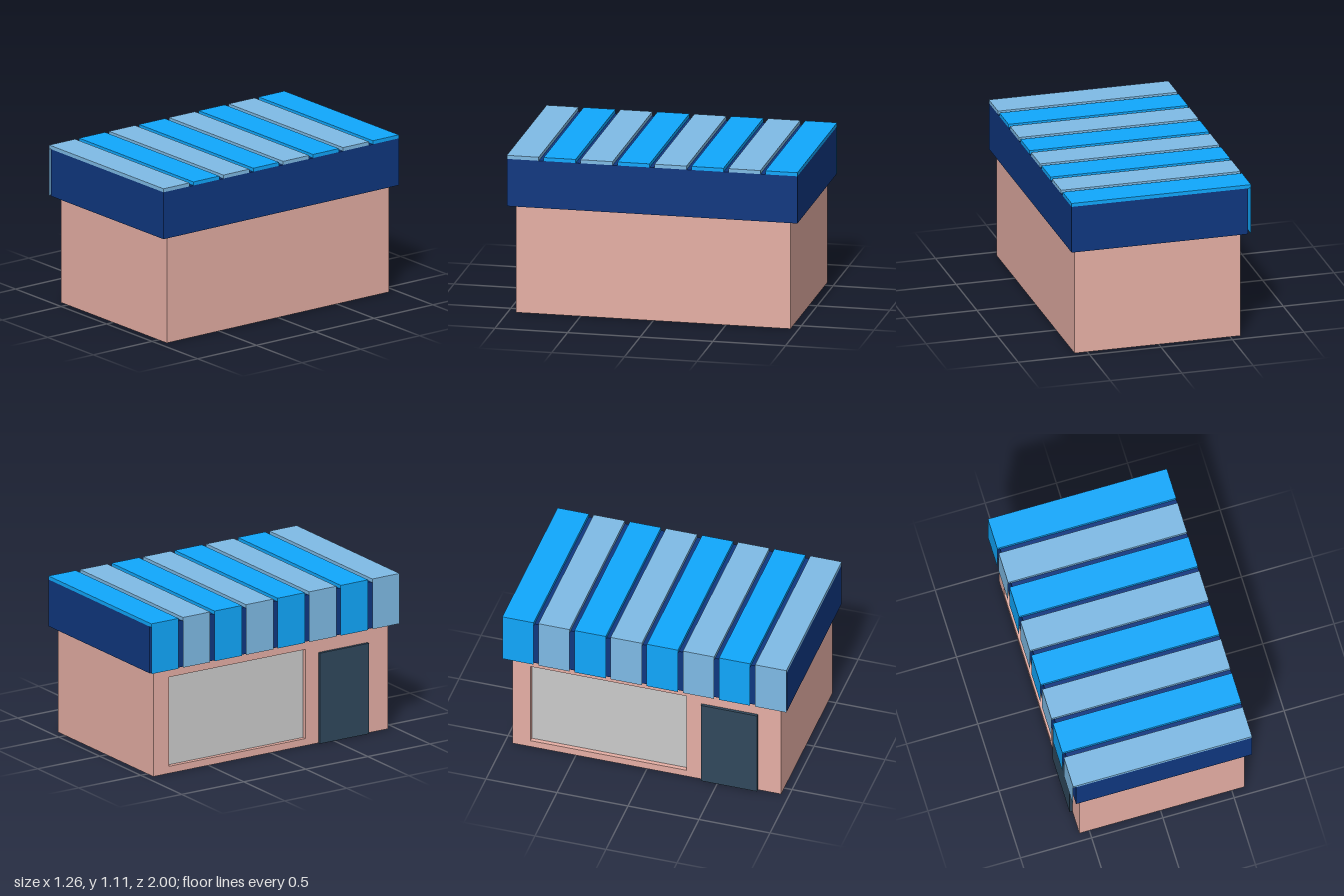
import * as THREE from 'three';

const mat = (color) => new THREE.MeshStandardMaterial({ color, side: THREE.DoubleSide });

export function createModel() {
  const group = new THREE.Group();
  const pink = mat(0xe6afa5), navy = mat(0x0f3780), grey = mat(0xcccccc);
  const blue = mat(0x10a8fd), paleBlue = mat(0x7fbbe6), slate = mat(0x30485c);

  const add = (name, geometry, material) => {
    const mesh = new THREE.Mesh(geometry, material);
    mesh.name = name;
    group.add(mesh);
  };
  // Box given by its lower and upper corners
  const box = (name, material, [x0, y0, z0], [x1, y1, z1]) =>
    add(name, new THREE.BoxGeometry(x1 - x0, y1 - y0, z1 - z0)
      .translate((x0 + x1) / 2, (y0 + y1) / 2, (z0 + z1) / 2), material);
  // Thin sheet: facing x, y or z, spanning two corners that agree on that axis
  const sheet = (name, material, a, b) => {
    const [x, y, z] = a.map((v, i) => (v + b[i]) / 2);
    const [w, h, d] = a.map((v, i) => Math.abs(b[i] - v));
    let g;
    if (w === 0) g = new THREE.PlaneGeometry(d, h).rotateY(-Math.PI / 2);
    else if (h === 0) g = new THREE.PlaneGeometry(w, d).rotateX(-Math.PI / 2);
    else g = new THREE.PlaneGeometry(w, h);
    add(name, g.translate(x, y, z), material);
  };

  // Walls: thin shell, open underneath
  const L = -0.57, R = 0.59, H = 0.75, D = 0.945;
  sheet('frontWall', pink, [L, 0, D], [R, H, D]);
  sheet('backWall', pink, [L, 0, -D], [R, H, -D]);
  sheet('sideWall', pink, [R, 0, -D], [R, H, D]);

  // Shop wall with window opening
  const z0 = -0.82, z1 = 0.28, y0 = 0.05, y1 = 0.68, inner = L + 0.03;
  const wall = new THREE.Shape([[-D, 0], [D, 0], [D, H], [-D, H]].map(p => new THREE.Vector2(...p)));
  wall.holes.push(new THREE.Path([[z0, y0], [z0, y1], [z1, y1], [z1, y0]].map(p => new THREE.Vector2(...p))));
  add('shopWall', new THREE.ShapeGeometry(wall).rotateY(-Math.PI / 2).translate(L, 0, 0), pink);

  // Window reveal and recessed pane
  for (const y of [y0, y1]) sheet('windowReveal', pink, [L, y, z0], [inner, y, z1]);
  for (const z of [z0, z1]) sheet('windowReveal', pink, [L, y0, z], [inner, y1, z]);
  sheet('windowPane', grey, [inner, y0, z0], [inner, y1, z1]);

  // Door standing through the wall
  box('door', slate, [-0.59, 0, 0.385], [-0.495, 0.64, 0.78]);

  // Flat roof block
  box('roof', navy, [-0.61, H, -1], [0.626, 1.08, 1]);

  // Awning stripes with a thin flap hanging over the shop wall
  const n = 8, width = 0.22, pitch = (2 - width) / (n - 1);
  for (let i = 0; i < n; i++) {
    const a = -1 + i * pitch, b = a + width, m = i % 2 ? paleBlue : blue;
    box('awningStripe', m, [-0.63, 1.08, a], [0.626, 1.105, b]);
    sheet('awningFlap', m, [-0.63, H, a], [-0.63, 1.08, b]);
  }
  return group;
}
